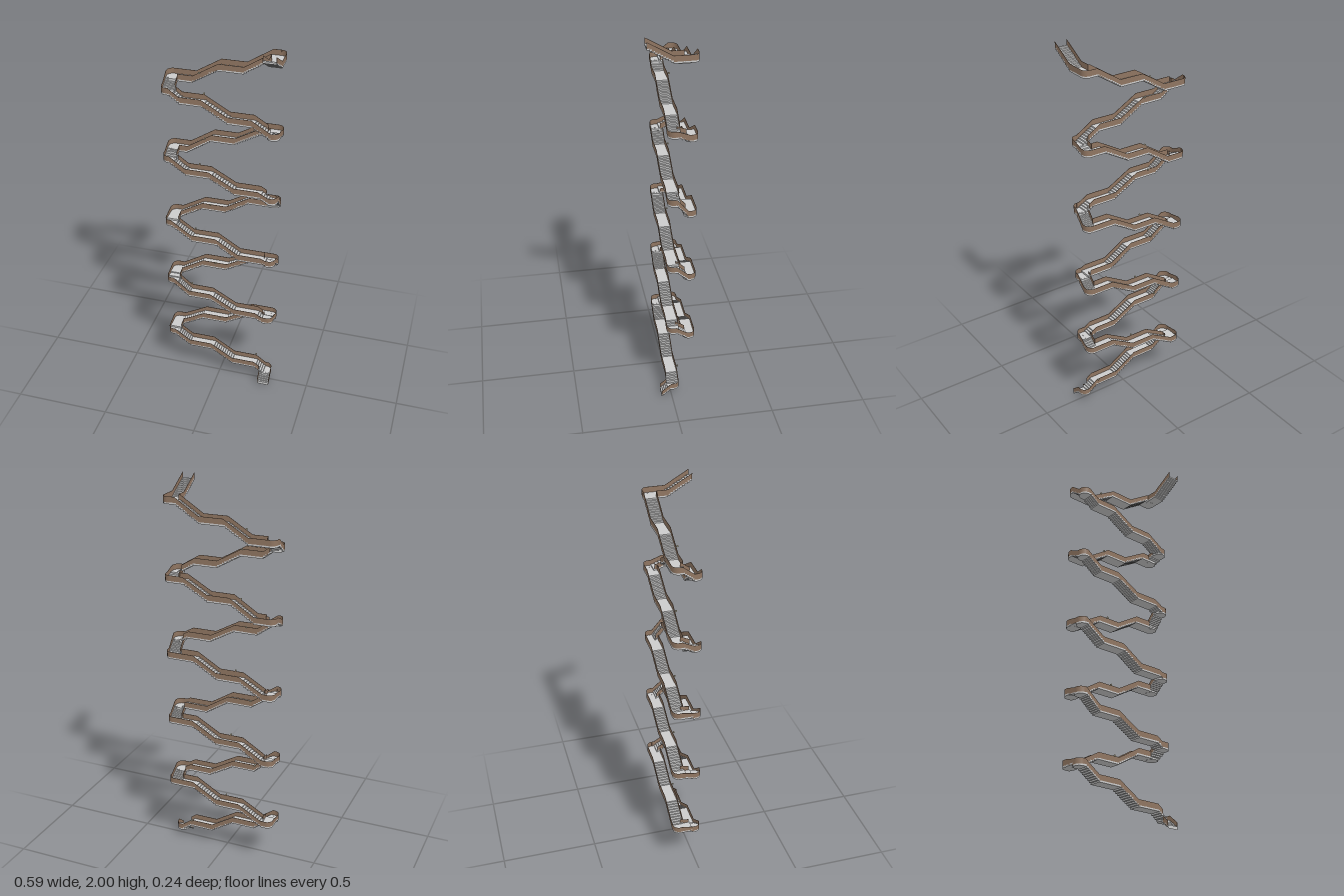
import * as THREE from 'three';

const R = 0.032;                      // half width of the stair
const X = 0.263, ZF = -0.01, ZB = -0.09; // corner positions: ends, front lane, back lane
const WALL = 0.029, DEPTH = 0.037, SLAB = 0.009, THICK = 0.0016, RISE = 0.0073;

// Front flights run right to left, as [x, rail height] points
const FRONT = [
  [[X, 0.08], [0.255, 0.08], [0.2, 0.12], [0.075, 0.12], [-0.045, 0.195], [-0.17, 0.195], [-0.255, 0.255], [-X, 0.255]],
  [[X, 0.445], [0.235, 0.445], [0.2, 0.466], [0.08, 0.466], [-0.05, 0.54], [-0.17, 0.54], [-0.255, 0.61], [-X, 0.61]],
  [[X, 0.82], [0.245, 0.82], [0.225, 0.83], [0.1, 0.83], [-0.02, 0.905], [-0.15, 0.905], [-0.26, 0.98], [-X, 0.98]],
  [[X, 1.2], [0.25, 1.2], [0.2, 1.228], [0.075, 1.228], [-0.055, 1.3], [-0.175, 1.3], [-0.26, 1.36], [-X, 1.36]],
  [[X, 1.56], [0.255, 1.56], [0.16, 1.618], [0.04, 1.618], [-0.09, 1.692], [-0.2, 1.692], [-0.255, 1.732], [-X, 1.732]],
];
// Back flights run left to right
const BACK = [
  [[-X, 0.265], [-0.235, 0.265], [-0.11, 0.335], [0.02, 0.335], [0.15, 0.41], [X, 0.41]],
  [[-X, 0.622], [-0.235, 0.622], [-0.11, 0.698], [0.02, 0.698], [0.15, 0.772], [X, 0.772]],
  [[-X, 0.99], [-0.235, 0.99], [-0.11, 1.062], [0.015, 1.062], [0.14, 1.136], [X, 1.136]],
  [[-X, 1.386], [-0.185, 1.386], [-0.06, 1.466], [0.06, 1.466], [0.19, 1.54], [X, 1.54]],
  [[-X, 1.773], [-0.153, 1.773], [-0.026, 1.85], [0.1, 1.85], [0.225, 1.93], [X, 1.93]],
];
const FRONT_LIGHTS = [0.197, -0.171, -0.145, -0.119, -0.093];
const BACK_LIGHTS = [-0.014, -0.04, -0.066, -0.093, -0.119];

const stone = new THREE.MeshStandardMaterial({ color: 0xcccccc, flatShading: true });
const wood = new THREE.MeshStandardMaterial({ color: 0x8f7561, side: THREE.DoubleSide });
const lamp = new THREE.MeshStandardMaterial({ color: 0xd8d0b4 });

// Height of a [distance, height] profile at distance s
function heightAt(profile, s) {
  for (let i = 1; i < profile.length; i++) {
    const [a, ya] = profile[i - 1], [b, yb] = profile[i];
    if (s <= b) return ya + (yb - ya) * (s - a) / (b - a);
  }
  return profile[profile.length - 1][1];
}

// Closed band between a line and the same line moved down
function band(line, top, bottom, width) {
  const pts = [
    ...line.map(([s, y]) => new THREE.Vector2(s, y - top)),
    ...line.slice().reverse().map(([s, y]) => new THREE.Vector2(s, y - bottom)),
  ];
  return new THREE.ExtrudeGeometry(new THREE.Shape(pts), { depth: width, bevelEnabled: false });
}

// Replace every slope by treads and risers
function stepped(profile) {
  const out = [profile[0]];
  for (let i = 1; i < profile.length; i++) {
    const [a, ya] = profile[i - 1], [b, yb] = profile[i];
    const n = Math.round((yb - ya) / RISE);
    for (let k = 0; k < n; k++) {
      const s = a + (b - a) * k / n;
      if (k > 0) out.push([s, ya + (yb - ya) * k / n]);
      out.push([s + 1e-5, ya + (yb - ya) * (k + 1) / n]);
    }
    out.push([b, yb]);
  }
  return out;
}

function clip(profile, from, to) {
  return [
    [from, heightAt(profile, from)],
    ...profile.filter(([s]) => s > from + 1e-6 && s < to - 1e-6),
    [to, heightAt(profile, to)],
  ];
}

export function createModel() {
  const model = new THREE.Group();
  model.name = 'zigzagStaircase';
  const add = (parent, name, geometry, material, x = 0, y = 0, z = 0) => {
    const mesh = new THREE.Mesh(geometry, material);
    mesh.name = name;
    mesh.position.set(x, y, z);
    parent.add(mesh);
    return mesh;
  };

  // Collect the legs in walking order: start point, direction, profile
  const legs = [];
  const alongX = (pts, z, name) => legs.push({
    name, x: pts[0][0], z, dx: Math.sign(pts[1][0] - pts[0][0]), dz: 0,
    profile: pts.map(([x, y]) => [Math.abs(x - pts[0][0]), y]),
  });
  const alongZ = (x, z, dz, profile, name) => legs.push({ name, x, z, dx: 0, dz, profile });
  const last = (pts) => pts[pts.length - 1][1];
  const link = (a, b) => [[0, a], [0.012, a], [0.068, b], [0.08, b]];

  alongZ(X, 0.054, -1, [[0, 0.037], [0.052, 0.08], [0.064, 0.08]], 'entryFlight');
  for (let i = 0; i < 5; i++) {
    alongX(FRONT[i], ZF, 'frontFlight');
    alongZ(-X, ZF, -1, link(last(FRONT[i]), BACK[i][0][1]), 'leftLink');
    alongX(BACK[i], ZB, 'backFlight');
    if (i < 4) alongZ(X, ZB, 1, link(last(BACK[i]), FRONT[i + 1][0][1]), 'rightLink');
  }
  alongZ(X, ZB, 1, [[0, 1.93], [0.09, 1.93], [0.211, 2]], 'exitFlight');

  // +1 when the path turns right between two legs, -1 when it turns left
  const turn = (a, b) => (a && b ? Math.sign(a.dx * b.dz - a.dz * b.dx) : 0);

  legs.forEach((leg, i) => {
    const prev = legs[i - 1], next = legs[i + 1], p = leg.profile;
    const length = p[p.length - 1][0];
    const group = new THREE.Group();
    group.name = leg.name;
    group.position.set(leg.x, 0, leg.z);
    group.rotation.y = Math.atan2(-leg.dz, leg.dx);
    model.add(group);

    // Treads with a matching sawtooth underside
    add(group, 'steps', band(stepped(p), DEPTH - SLAB, DEPTH, 2 * R), stone, 0, 0, -R);

    // Side walls, shortened at inner corners
    const trim = leg.name.endsWith('Link') ? 0.017 : R;
    for (const side of [-1, 1]) {
      const from = turn(prev, leg) === side ? trim : 0;
      const to = length - (turn(leg, next) === side ? trim : 0);
      add(group, side < 0 ? 'leftWall' : 'rightWall', band(clip(p, from, to), 0, WALL, THICK), wood,
        0, 0, side * (R - THICK / 2) - THICK / 2);
    }

    // Round landing and curved outer wall at the corner
    if (next) {
      const y = p[p.length - 1][1];
      const cx = next.x, cz = next.z;
      add(model, 'landing', new THREE.CylinderGeometry(R, R, SLAB, 16), stone, cx, y - DEPTH + SLAB / 2 - 0.0005, cz);
      const theta = Math.atan2(leg.dx - next.dx, leg.dz - next.dz) - Math.PI / 4;
      add(model, 'landingWall', new THREE.CylinderGeometry(R, R, WALL, 4, 1, true, theta, Math.PI / 2), wood,
        cx, y - WALL / 2, cz);
    }
  });

  // Small lamps between the two lanes, one per flight
  const cube = new THREE.BoxGeometry(0.007, 0.007, 0.007);
  const addLamp = (pts, x, z) => {
    const profile = pts.map(([px, y]) => [Math.abs(px - pts[0][0]), y]);
    add(model, 'lamp', cube, lamp, x, heightAt(profile, Math.abs(x - pts[0][0])) + 0.001, z);
  };
  for (let i = 0; i < 5; i++) {
    addLamp(FRONT[i], FRONT_LIGHTS[i], -0.048);
    addLamp(BACK[i], BACK_LIGHTS[i], -0.053);
  }
  return model;
}
